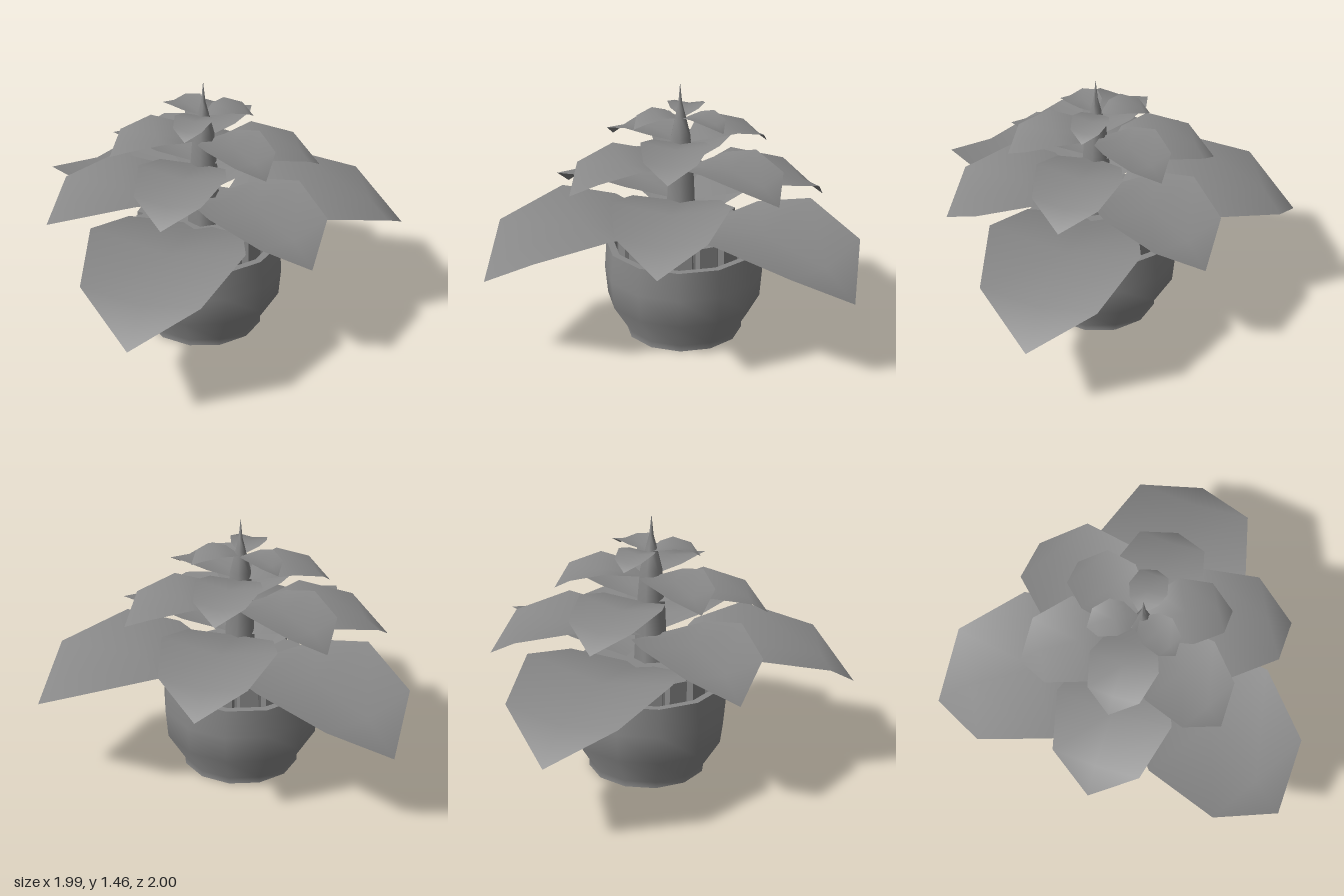
import * as THREE from 'three';
import { toCreasedNormals } from 'three/addons/utils/BufferGeometryUtils.js';

const material = new THREE.MeshStandardMaterial({ color: 0x888888, side: THREE.DoubleSide });

function addMesh(parent, name, geometry) {
  const mesh = new THREE.Mesh(geometry, material);
  mesh.name = name;
  parent.add(mesh);
  return mesh;
}

function lathe(points, sides, crease) {
  const profile = points.map(([r, y]) => new THREE.Vector2(r, y));
  return toCreasedNormals(new THREE.LatheGeometry(profile, sides), crease);
}

// Folded leaf pointing along +x: a low midrib with raised edges and a drooping tip
function leafGeometry() {
  // distance along, half width, rib height, edge height
  const stations = [
    [0.02, 0, -0.035, -0.035],
    [0.28, 0.32, 0.04, 0.1],
    [0.56, 0.426, 0.075, 0.155],
    [0.955, 0.322, 0.0, 0.05],
    [1.142, 0, -0.157, -0.157],
  ];
  const positions = [];
  const index = [];
  for (const [u, v, rib, edge] of stations) {
    positions.push(u, edge, -v, u, rib, 0, u, edge, v);
  }
  const last = stations.length - 2;
  for (let i = 0; i <= last; i++) {
    for (let side = 0; side < 2; side++) {
      const a = i * 3 + side, b = a + 1, c = a + 3, d = b + 3;
      // the pointed ends need a single triangle per side
      if (i === 0) index.push(1, side ? 5 : 4, side ? 4 : 3);
      else if (i === last) index.push(a, b, i * 3 + 4);
      else index.push(a, b, d, a, d, c);
    }
  }
  const geometry = new THREE.BufferGeometry();
  geometry.setAttribute('position', new THREE.Float32BufferAttribute(positions, 3));
  geometry.setIndex(index);
  geometry.computeVertexNormals();
  return geometry;
}

// Soil plug with a toothed rim
function soilGeometry(teeth, outer, inner, height) {
  const shape = new THREE.Shape();
  const step = (Math.PI * 2) / teeth;
  for (let i = 0; i < teeth; i++) {
    [[0, inner], [0.12, outer], [0.82, outer], [0.9, inner]].forEach(([t, r], k) => {
      const a = (i + t) * step;
      const x = Math.cos(a) * r, y = Math.sin(a) * r;
      if (i + k === 0) shape.moveTo(x, y);
      else shape.lineTo(x, y);
    });
  }
  shape.closePath();
  const geometry = new THREE.ExtrudeGeometry(shape, { depth: height, bevelEnabled: false });
  return geometry.rotateX(-Math.PI / 2);
}

export function createModel() {
  const model = new THREE.Group();
  model.name = 'pottedPlant';
  const plant = new THREE.Group();
  plant.name = 'plant';
  plant.position.set(-0.145, 0, 0.04);
  model.add(plant);

  // Rounded pot with an open, thick rim
  addMesh(plant, 'pot', lathe([
    [0, 0], [0.327, 0], [0.327, 0.035], [0.428, 0.2], [0.442, 0.36],
    [0.43, 0.52], [0.39, 0.52], [0.39, 0.4], [0, 0.4],
  ], 12, 0.75));

  addMesh(plant, 'soil', soilGeometry(16, 0.368, 0.335, 0.23)).position.y = 0.4;

  // Tapering six-sided stem ending in a thin spike
  const stem = addMesh(plant, 'stem', lathe([
    [0.092, 0.6], [0.08, 0.9], [0.06, 1.15], [0.03, 1.27], [0.012, 1.34], [0, 1.455],
  ], 6, 1.2));
  stem.position.z = 0.02;
  stem.rotation.y = Math.PI / 6;

  // Five tiers of three leaves, shrinking upward and turned half a step each time
  const leaf = leafGeometry();
  const tiers = [[0.63, 1], [0.795, 0.75], [0.98, 0.57], [1.12, 0.44], [1.257, 0.245]];
  tiers.forEach(([y, scale], t) => {
    const tier = new THREE.Group();
    tier.name = 'leafTier' + (t + 1);
    tier.position.y = y;
    for (let i = 0; i < 3; i++) {
      const mesh = addMesh(tier, 'leaf', leaf);
      mesh.scale.setScalar(scale);
      mesh.rotation.y = -THREE.MathUtils.degToRad(5.3 + 120 * i + 180 * (t % 2));
    }
    plant.add(tier);
  });
  return model;
}
